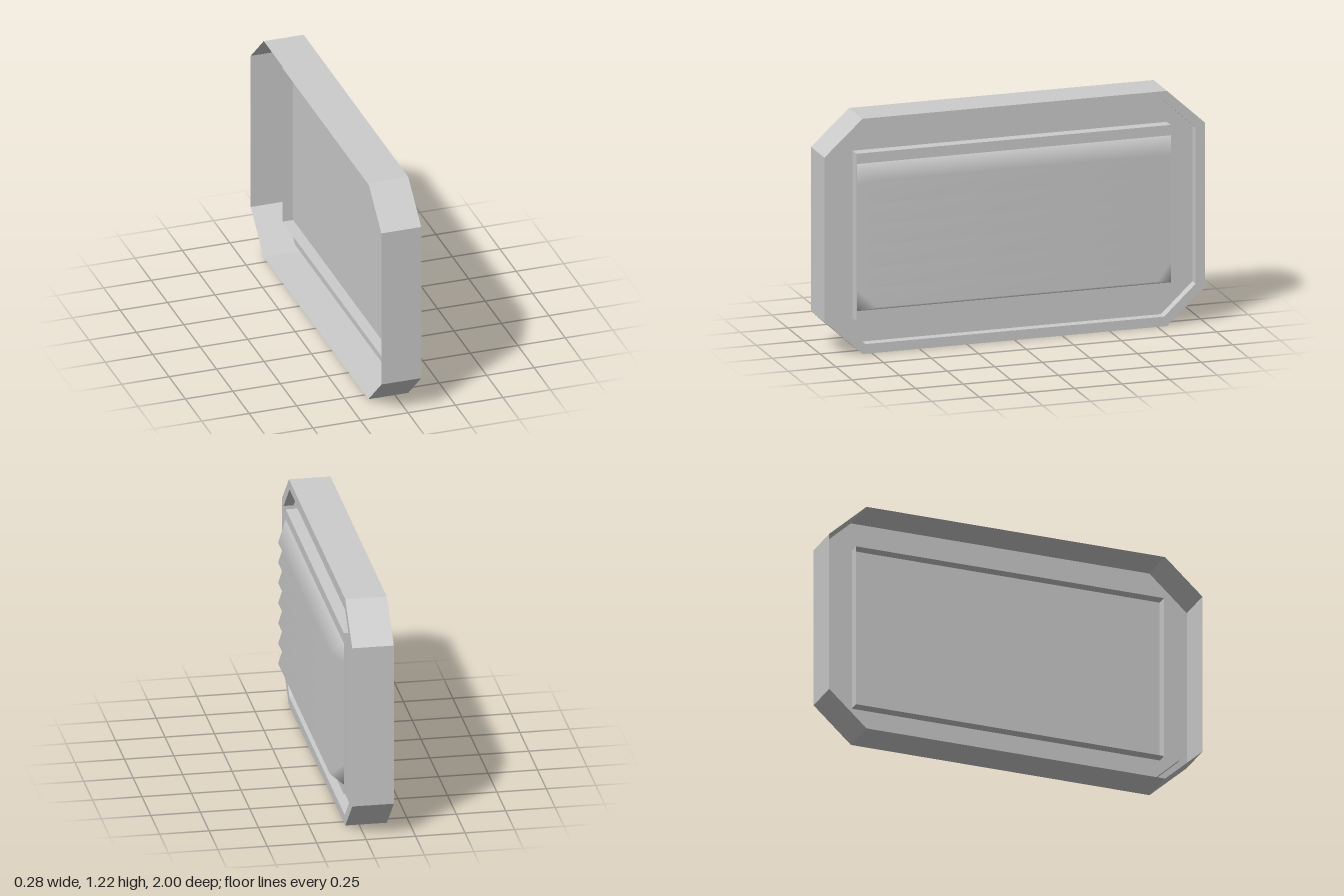
import * as THREE from 'three';

const material = new THREE.MeshStandardMaterial({ color: 0xcccccc, side: THREE.DoubleSide });

// Outlines are [u, y] with u = -z, counter-clockwise seen from +x.
function octagon(halfWidth, y0, y1, cutU, cutY) {
  const w = halfWidth, c = halfWidth - cutU;
  return [[-c, y0], [c, y0], [w, y0 + cutY], [w, y1 - cutY],
    [c, y1], [-c, y1], [-w, y1 - cutY], [-w, y0 + cutY]];
}

function named(name, geometry) {
  const mesh = new THREE.Mesh(geometry, material);
  mesh.name = name;
  return mesh;
}

// Flat-sided band through a series of { x, outline } sections
function band(name, sections) {
  const pos = [];
  for (let s = 0; s + 1 < sections.length; s++) {
    const a = sections[s], b = sections[s + 1], n = a.outline.length;
    const point = (sec, i) => [sec.x, sec.outline[i % n][1], -sec.outline[i % n][0]];
    for (let i = 0; i < n; i++) {
      const [p, q, r, t] = [point(a, i), point(a, i + 1), point(b, i + 1), point(b, i)];
      pos.push(...p, ...q, ...r, ...p, ...r, ...t);
    }
  }
  const g = new THREE.BufferGeometry();
  g.setAttribute('position', new THREE.Float32BufferAttribute(pos, 3));
  g.computeVertexNormals();
  return named(name, g);
}

// Flat sheet facing +x
function sheet(name, x, outline) {
  const g = new THREE.ShapeGeometry(new THREE.Shape(outline.map(([u, y]) => new THREE.Vector2(u, y))));
  g.rotateY(Math.PI / 2).translate(x, 0, 0);
  return named(name, g);
}

// Sawtooth louvres as one smooth-shaded surface with sloped ends
function louvres(count, top, pitch, centerZ) {
  const pos = [], index = [];
  for (let r = 0; r <= count * 2; r++) {
    const peak = r % 2 === 1;
    const y = top - pitch * (Math.floor(r / 2) + (peak ? 0.77 : 0));
    const half = peak ? 0.735 : 0.825;
    const x = peak ? 0.135 : 0.081;
    pos.push(x, y, centerZ + half, x, y, centerZ - half);
  }
  for (let k = 0; k < count; k++) {
    const v = k * 4; // upper valley, peak, lower valley: left and right points
    const [ul, ur, pl, pr, ll, lr] = [v, v + 1, v + 2, v + 3, v + 4, v + 5];
    index.push(ul, pl, ur, pl, pr, ur); // upper slope
    index.push(pl, ll, lr, pl, lr, pr); // underside
    index.push(ul, ll, pl, ur, pr, lr); // ends
  }
  const g = new THREE.BufferGeometry();
  g.setAttribute('position', new THREE.Float32BufferAttribute(pos, 3));
  g.setIndex(index);
  g.computeVertexNormals();
  return named('louvres', g);
}

export function createModel() {
  const group = new THREE.Group();
  group.name = 'louvredVent';

  const outer = octagon(1, 0, 1.217, 0.2, 0.183);
  const inner = octagon(0.95, 0.05, 1.168, 0.165, 0.155);
  const [back, front, plate] = [-0.14, 0.07, 0.02];

  // Open-backed housing with a front rim and a recessed plate
  group.add(band('housing', [{ x: back, outline: outer }, { x: front, outline: outer }]));
  group.add(band('frontRim', [{ x: front, outline: outer }, { x: front, outline: inner },
    { x: plate, outline: inner }]));
  group.add(sheet('recessedPlate', plate, inner));

  // Rectangular sleeve passing through the plate, closed at the front
  const rect = [[-0.835, 0.175], [0.815, 0.175], [0.815, 1.042], [-0.835, 1.042]];
  group.add(band('sleeve', [{ x: -0.037, outline: rect }, { x: 0.08, outline: rect }]));
  group.add(sheet('sleeveFront', 0.08, rect));

  group.add(louvres(7, 0.989, 0.1087, 0.007));
  return group;
}
